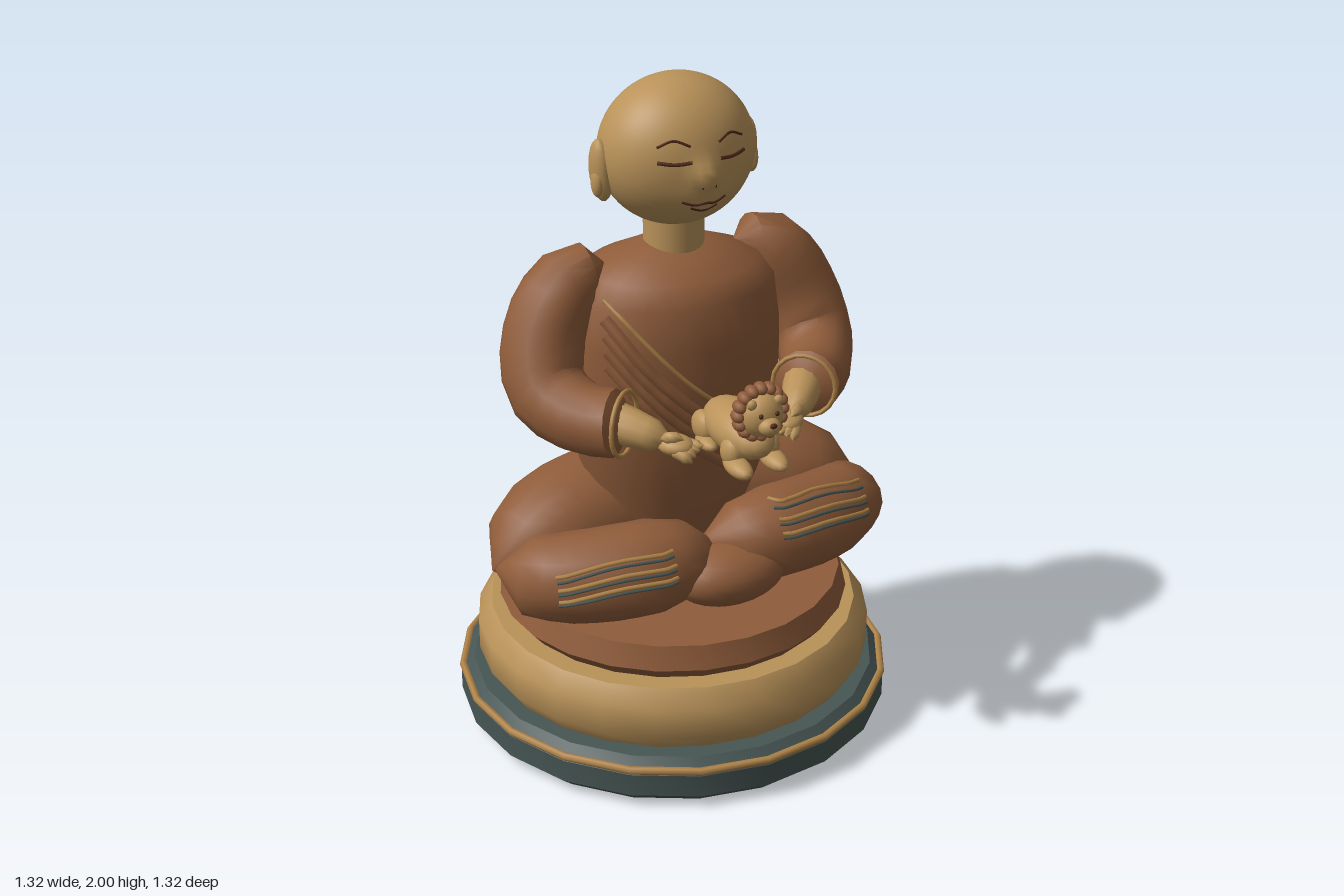
import * as THREE from 'three';
import { mergeVertices, toCreasedNormals } from 'three/addons/utils/BufferGeometryUtils.js';

const V = (p) => new THREE.Vector3(p[0], p[1], p[2]);

export function createModel() {
  const model = new THREE.Group();
  const mat = (name, color) => {
    const m = new THREE.MeshStandardMaterial({ color });
    m.name = name;
    return m;
  };
  const robe = mat('robe brown', 0x8f5c3a);
  const skin = mat('skin gold', 0xb99259);
  const trim = mat('trim gold', 0xb08448);
  const stone = mat('stone teal', 0x465553);
  const ink = mat('dark brown', 0x4f2618);

  const add = (name, geo, material, parent = model) => {
    const mesh = new THREE.Mesh(geo, material);
    mesh.name = name;
    parent.add(mesh);
    return mesh;
  };
  const group = (name) => {
    const g = new THREE.Group();
    g.name = name;
    model.add(g);
    return g;
  };
  const crease = (geo, angle = 0.75) => {
    geo.deleteAttribute('uv');
    geo.deleteAttribute('normal');
    return toCreasedNormals(mergeVertices(geo, 1e-5), angle);
  };
  const lathe = (profile, sides) =>
    crease(new THREE.LatheGeometry(profile.map((p) => new THREE.Vector2(p[0], p[1])), sides));
  const ball = (name, pos, r, material, parent, seg = 16) => {
    const mesh = add(name, new THREE.SphereGeometry(1, seg, Math.ceil(seg * 0.75)), material, parent);
    mesh.position.set(...pos);
    mesh.scale.set(...r);
    return mesh;
  };
  // Tube along a curve whose radius follows a list spread evenly over its length
  const limb = (points, radii, segs, sides, angle = 0.9) => {
    const curve = new THREE.CatmullRomCurve3(points.map(V), false, 'centripetal');
    const geo = new THREE.TubeGeometry(curve, segs, 1, sides);
    const pos = geo.attributes.position;
    const v = new THREE.Vector3();
    for (let i = 0; i <= segs; i++) {
      const f = (i / segs) * (radii.length - 1);
      const k = Math.min(Math.floor(f), radii.length - 2);
      const r = THREE.MathUtils.lerp(radii[k], radii[k + 1], f - k);
      const c = curve.getPointAt(i / segs);
      for (let j = 0; j <= sides; j++) {
        const n = i * (sides + 1) + j;
        v.fromBufferAttribute(pos, n).sub(c).multiplyScalar(r).add(c);
        pos.setXYZ(n, v.x, v.y, v.z);
      }
    }
    return crease(geo, angle);
  };
  // Thin tube laid on the front of the given meshes along x, y points
  const ray = new THREE.Raycaster();
  const drape = (name, targets, pts, r, material, lift = 0) => {
    const path = new THREE.CatmullRomCurve3(pts.map((p) => V([p[0], p[1], 0])));
    const hits = [];
    for (const p of path.getPoints(12)) {
      ray.set(V([p.x, p.y, 3]), V([0, 0, -1]));
      const hit = ray.intersectObjects(targets, false)[0];
      if (hit) hits.push(hit.point.add(V([0, 0, lift])));
    }
    if (hits.length > 1) {
      add(name, new THREE.TubeGeometry(new THREE.CatmullRomCurve3(hits), 24, r, 6), material);
    }
  };

  // Round pedestal
  add('pedestalBase', lathe([[0, 0], [0.61, 0], [0.655, 0.04], [0.655, 0.11], [0.615, 0.15], [0, 0.15]], 20), stone);
  const ring = add('pedestalRing', new THREE.TorusGeometry(0.648, 0.012, 6, 20), trim);
  ring.rotation.x = Math.PI / 2;
  ring.position.y = 0.122;
  add('pedestalMiddle', lathe([[0, 0.145], [0.56, 0.145], [0.597, 0.2], [0.597, 0.295], [0.555, 0.345], [0, 0.345]], 24), skin);
  add('pedestalCushion', lathe([[0, 0.34], [0.495, 0.345], [0.528, 0.385], [0.505, 0.455], [0, 0.458]], 24), robe);

  // Torso and neck
  const torsoGeo = lathe([[0, 0.6], [0.22, 0.62], [0.28, 0.8], [0.31, 0.95], [0.325, 1.1], [0.322, 1.25],
    [0.305, 1.38], [0.26, 1.44], [0.16, 1.48], [0.09, 1.51], [0, 1.51]], 32);
  torsoGeo.scale(1, 1, 0.765);
  const torso = add('torso', torsoGeo, robe);
  const neck = add('neck', new THREE.CylinderGeometry(0.088, 0.088, 0.14, 24), skin);
  neck.position.set(0, 1.54, 0.008);

  // Head, with the nose and mouth raised from the sphere
  const headGeo = new THREE.SphereGeometry(1, 56, 40);
  headGeo.scale(0.227, 0.215, 0.195).translate(0, 1.785, 0.022);
  const hp = headGeo.attributes.position;
  for (let i = 0; i < hp.count; i++) {
    const x = hp.getX(i), y = hp.getY(i), z = hp.getZ(i);
    if (z < 0.06) continue;
    const nose = 0.03 * Math.exp(-((x / 0.035) ** 2) - ((y - 1.768) / 0.04) ** 2);
    const mouth = 0.018 * Math.exp(-((x / 0.08) ** 2) - ((y - 1.685) / 0.06) ** 2);
    hp.setZ(i, z + nose + mouth);
  }
  const head = add('head', crease(headGeo, 1.2), skin);
  model.updateMatrixWorld(true);

  // Face lines
  for (const s of [-1, 1]) {
    drape('eyelid', [head], [[s * 0.042, 1.81], [s * 0.085, 1.806], [s * 0.13, 1.811]], 0.0055, ink);
    drape('eyebrow', [head], [[s * 0.042, 1.853], [s * 0.085, 1.869], [s * 0.128, 1.852]], 0.004, ink);
    drape('nostril', [head], [[s * 0.02, 1.739], [s * 0.016, 1.742]], 0.005, ink);
    const ear = ball('ear', [s * 0.222, 1.748, 0.008], [0.032, 0.092, 0.044], skin);
    ear.rotation.z = s * -0.08;
    ball('earLobe', [s * 0.238, 1.72, 0.02], [0.018, 0.045, 0.025], skin);
  }
  drape('upperLip', [head], [[-0.065, 1.694], [-0.03, 1.683], [0, 1.687], [0.03, 1.683], [0.065, 1.694]], 0.004, ink);
  drape('lowerLip', [head], [[-0.04, 1.673], [0, 1.66], [0.04, 1.673]], 0.004, ink);

  // Robe folds crossing the chest
  drape('robeEdge', [torso], [[-0.26, 1.4], [-0.16, 1.27], [-0.06, 1.16], [0.08, 1.04], [0.2, 0.94]], 0.007, trim, 0.004);
  for (let i = 0; i < 4; i++) {
    drape('robeFold', [torso], [[-0.265, 1.35 - 0.045 * i], [-0.18, 1.22 - 0.04 * i],
      [-0.05 - 0.01 * i, 1.08 - 0.03 * i], [0.2 - 0.035 * i, 0.88 - 0.01 * i]], 0.02, robe);
  }

  for (const s of [-1, 1]) {
    const side = s > 0 ? 'left' : 'right';
    const lift = s > 0 ? 0.02 : 0;
    const P = (x, y, z) => [s * x, y, z];

    // Folded leg: thigh and shin
    const thigh = add(side + 'Thigh', limb([P(-0.02, 0.68 + lift, -0.09), P(0.3, 0.645 + lift, -0.035), P(0.61, 0.6 + lift, 0.07)],
      [0.06, 0.165, 0.19, 0.19, 0.178, 0.135, 0], 12, 16, 1.2), robe);
    const shin = add(side + 'Shin', limb([P(0.6, 0.6 + lift, 0.06), P(0.45, 0.6 + lift, 0.19), P(0.22, 0.615 + lift, 0.265), P(-0.04, 0.62 + lift, 0.25)],
      [0, 0.12, 0.135, 0.14, 0.14, 0.11, 0], 12, 16, 1.2), robe);
    model.updateMatrixWorld(true);
    // Striped hem on the knee
    for (let i = 0; i < 3; i++) {
      const y = (s > 0 ? 0.765 : 0.71) - 0.035 * i;
      const drop = s > 0 ? 0.04 : 0.045;
      drape('kneeStripe', [thigh, shin], [P(0.17, y, 0), P(0.34, y - 0.006, 0), P(0.5, y - drop, 0)], 0.007, trim, 0.002);
      drape('kneeStripeShade', [thigh, shin], [P(0.17, y - 0.013, 0), P(0.34, y - 0.019, 0), P(0.5, y - drop - 0.013, 0)], 0.005, stone, 0.001);
    }

    // Sleeve
    add(side + 'Sleeve', limb([P(0.2, 1.455, -0.02), P(0.3, 1.43, -0.02), P(0.4, 1.28, 0), P(0.425, 1.15, 0.07), P(0.37, 1.1, 0.19), P(0.262, 1.105, 0.305)],
      [0, 0.08, 0.105, 0.115, 0.12, 0.12, 0.12, 0.118, 0.115, 0.11, 0.105, 0.1, 0.098, 0], 13, 14), robe);
    const cuff = add(side + 'Cuff', new THREE.TorusGeometry(0.093, 0.007, 6, 20), trim);
    cuff.position.set(...P(0.282, 1.104, 0.285));
    cuff.lookAt(V(P(0.174, 1.109, 0.4)));

    // Forearm, palm and fingers
    const hand = group(side + 'Hand');
    add('forearm', limb([P(0.3, 1.1, 0.25), P(0.245, 1.09, 0.325), P(0.175, 1.07, 0.395)], [0.06, 0.055, 0.045, 0], 9, 12), skin, hand);
    const palm = ball('palm', P(0.175, 1.065, 0.39), [0.045, 0.028, 0.055], skin, hand);
    palm.rotation.y = s * -0.65;
    for (let i = 0; i < 4; i++) {
      add('finger', limb([P(0.2 - 0.018 * i, 1.06, 0.4 - 0.012 * i), P(0.172 - 0.016 * i, 1.05 + 0.004 * i, 0.435 - 0.006 * i), P(0.155 - 0.015 * i, 1.035 + 0.012 * i, 0.46 - 0.008 * i)],
        [0, 0.017, 0.018, 0.017, 0], 8, 8, 1.2), skin, hand);
    }
    add('thumb', limb([P(0.22, 1.085, 0.38), P(0.19, 1.1, 0.41), P(0.165, 1.095, 0.43)], [0, 0.017, 0.016, 0], 6, 8, 1.2), skin, hand);
  }
  // Foot tucked at the centre
  ball('foot', [0.03, 0.57, 0.325], [0.175, 0.092, 0.11], robe, model, 20);

  // Small lion resting on the hands
  const lion = group('lion');
  ball('lionBody', [0, 1.1, 0.43], [0.082, 0.07, 0.155], skin, lion, 20);
  ball('lionHead', [0, 1.2, 0.565], [0.062, 0.064, 0.05], skin, lion);
  ball('lionMuzzle', [0, 1.185, 0.612], [0.032, 0.026, 0.028], skin, lion);
  ball('lionNose', [0, 1.197, 0.636], [0.011, 0.008, 0.007], ink, lion, 8);
  for (let i = 0; i < 16; i++) {
    const a = (i / 16) * Math.PI * 2;
    ball('maneCurl', [0.068 * Math.sin(a), 1.205 + 0.07 * Math.cos(a), 0.555], [0.018, 0.018, 0.027], robe, lion, 10);
  }
  for (const s of [-1, 1]) {
    ball('lionEye', [s * 0.024, 1.218, 0.609], [0.007, 0.007, 0.006], ink, lion, 8);
    ball('lionEar', [s * 0.04, 1.245, 0.585], [0.015, 0.015, 0.012], skin, lion, 8);
    ball('frontPaw', [s * 0.055, 1.038, 0.535], [0.033, 0.026, 0.068], skin, lion);
    ball('frontLeg', [s * 0.055, 1.07, 0.5], [0.032, 0.045, 0.04], skin, lion);
    ball('haunch', [s * 0.062, 1.075, 0.335], [0.03, 0.045, 0.05], skin, lion);
    ball('hindPaw', [s * 0.07, 1.04, 0.37], [0.026, 0.02, 0.05], skin, lion);
  }
  add('lionTail', limb([[0, 1.09, 0.29], [0.04, 1.06, 0.265], [0.08, 1.03, 0.255], [0.13, 1.0, 0.285]], [0.009, 0.009, 0.008, 0], 10, 6), trim, lion);

  return model;
}
